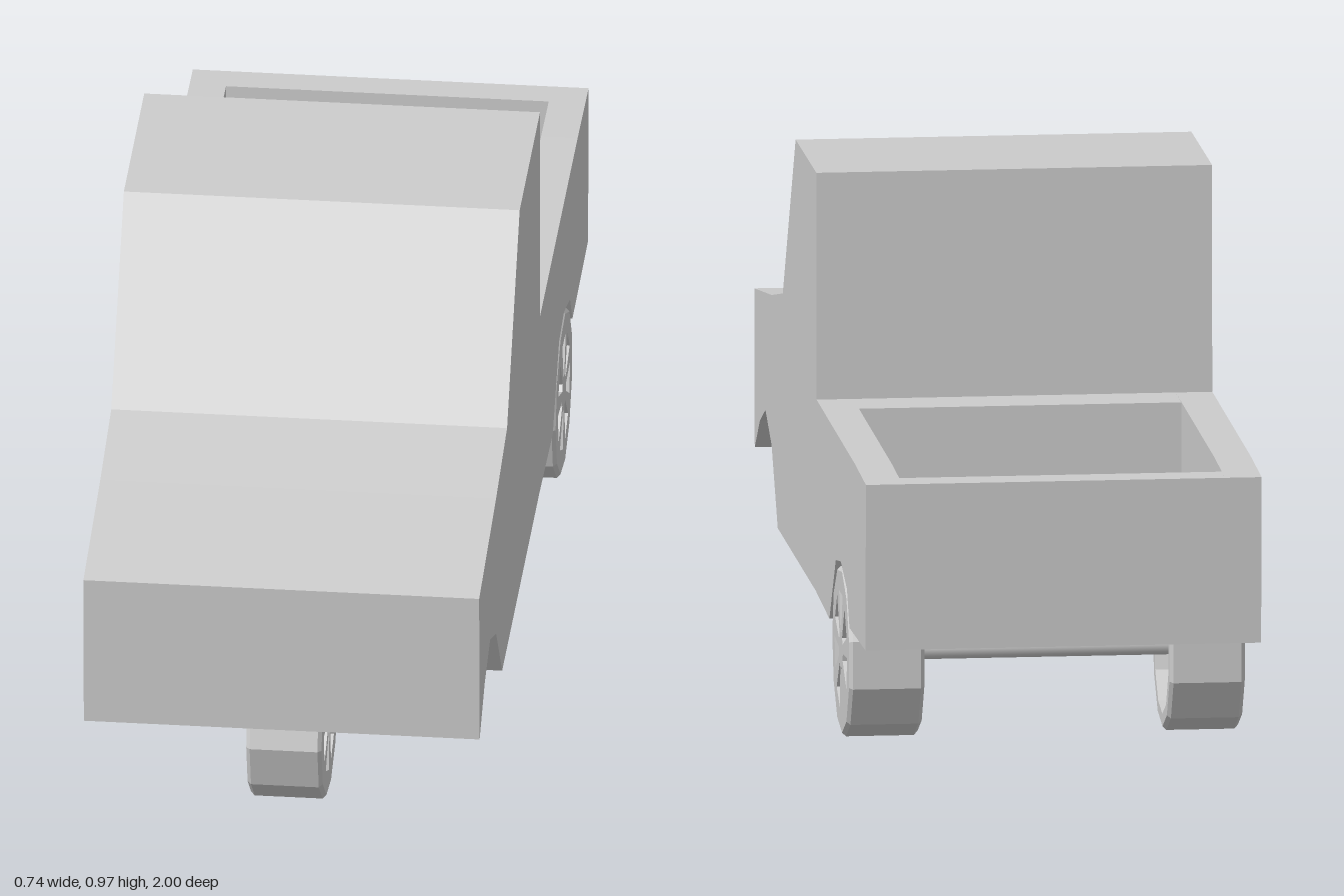
import * as THREE from 'three';

const mat = new THREE.MeshStandardMaterial({ color: 0xcccccc, flatShading: true });
const tubeMat = new THREE.MeshStandardMaterial({ color: 0xcccccc });

function add(parent, name, geometry, material = mat) {
  const mesh = new THREE.Mesh(geometry, material);
  mesh.name = name;
  parent.add(mesh);
  return mesh;
}

// Side outline given as [z, y], extruded across x from x0 to x1
function slab(points, x0, x1) {
  const shape = new THREE.Shape(points.map(([z, y]) => new THREE.Vector2(z, y)));
  const g = new THREE.ExtrudeGeometry(shape, { depth: x1 - x0, bevelEnabled: false });
  return g.rotateY(-Math.PI / 2).translate(x1, 0, 0);
}

function pipe(points, radius) {
  const path = new THREE.CurvePath();
  const v = points.map((p) => new THREE.Vector3(...p));
  for (let i = 1; i < v.length; i++) path.add(new THREE.LineCurve3(v[i - 1], v[i]));
  return new THREE.TubeGeometry(path, v.length > 2 ? 40 : 1, radius, 10);
}

// Eleven-sided wheel: spoked face towards +x, hollow towards -x
function wheel(name, x, y, z) {
  const SIDES = 11, R = 0.16, W = 0.07, RIM = 0.13, B = 0.007;
  const group = new THREE.Group();
  group.name = name;
  group.position.set(x, y, z);

  const profile = [
    [RIM, -W], [R - B, -W], [R, -W + B], [R, W - B], [R - B, W], [RIM, W], [RIM, -W],
  ].map(([r, h]) => new THREE.Vector2(r, h));
  add(group, 'tyre', new THREE.LatheGeometry(profile, SIDES).rotateZ(-Math.PI / 2));

  const polygon = (r) => new THREE.Shape(Array.from({ length: SIDES }, (_, i) => {
    const a = Math.PI + (i / SIDES) * Math.PI * 2;
    return new THREE.Vector2(r * Math.cos(a), r * Math.sin(a));
  }));
  const face = polygon(RIM);
  // Seven wedge-shaped recesses between the spokes
  for (let i = 0; i < 7; i++) {
    const a = Math.PI / 2 + (i / 7) * Math.PI * 2;
    const corner = (r, d) => new THREE.Vector2(r * Math.cos(a + d), r * Math.sin(a + d));
    face.holes.push(new THREE.Path([
      corner(0.035, -0.2), corner(0.035, 0.2), corner(0.112, 0.28), corner(0.112, -0.28),
    ]));
  }
  const plate = (shape, depth, at) => new THREE.ExtrudeGeometry(shape, { depth, bevelEnabled: false })
    .rotateY(Math.PI / 2).translate(at, 0, 0);
  add(group, 'spokes', plate(face, 0.015, W - 0.015));
  add(group, 'wheelDisc', plate(polygon(RIM), 0.012, W - 0.027));
  return group;
}

export function createModel() {
  const model = new THREE.Group();
  model.name = 'threeWheeledPickup';

  // Body: full-height side panels around a centre section with the load bed cut in
  const cab = [
    [-0.115, 0.548], [-0.112, 0.975], [0.26, 0.965], [0.49, 0.63], [0.69, 0.588], [1, 0.54],
  ];
  const underside = [
    [0.992, 0.242], [0.9, 0.31], [0.8, 0.35], [0.69, 0.305], [0.58, 0.17], [-0.1, 0.185],
    [-0.345, 0.18], [-0.46, 0.313], [-0.55, 0.328], [-0.66, 0.297], [-0.705, 0.233], [-0.99, 0.246],
  ];
  const tail = [[-1, 0.56], [-0.8, 0.561]];
  const bed = [[-0.94, 0.56], [-0.94, 0.336], [-0.4, 0.336], [-0.215, 0.305], [-0.215, 0.549]];
  const outer = [...cab, ...underside, ...tail];
  const inner = [...cab, ...underside, tail[0], ...bed];
  const body = new THREE.Group();
  body.name = 'body';
  model.add(body);
  add(body, 'leftPanel', slab(outer, 0.3, 0.368));
  add(body, 'rightPanel', slab(outer, -0.368, -0.3));
  add(body, 'cabAndBed', slab(inner, -0.3, 0.3));

  // Wheels
  const rearY = 0.161, rearZ = -0.55, frontY = 0.182, frontZ = 0.8;
  model.add(wheel('frontWheel', 0, frontY, frontZ));
  model.add(wheel('rearLeftWheel', 0.298, rearY, rearZ));
  const right = wheel('rearRightWheel', -0.298, rearY, rearZ);
  right.rotation.z = Math.PI;
  model.add(right);

  // One-sided front fork, bent into the hub
  add(model, 'frontFork', pipe([
    [-0.146, 0.37, frontZ], [-0.146, 0.215, frontZ], [-0.136, 0.192, frontZ],
    [-0.113, frontY, frontZ], [0.045, frontY, frontZ],
  ], 0.02), tubeMat);

  // Rear axle with its struts and trailing arm
  add(model, 'rearAxle', pipe([[-0.345, rearY, rearZ], [0.345, rearY, rearZ]], 0.02), tubeMat);
  for (const x of [-0.15, 0.15]) {
    add(model, 'rearStrut', pipe([[x, rearY, rearZ], [x, 0.33, rearZ]], 0.018), tubeMat);
  }
  add(model, 'trailingArm', pipe([[0, rearY, rearZ], [0, 0.205, -0.345]], 0.018), tubeMat);

  return model;
}
